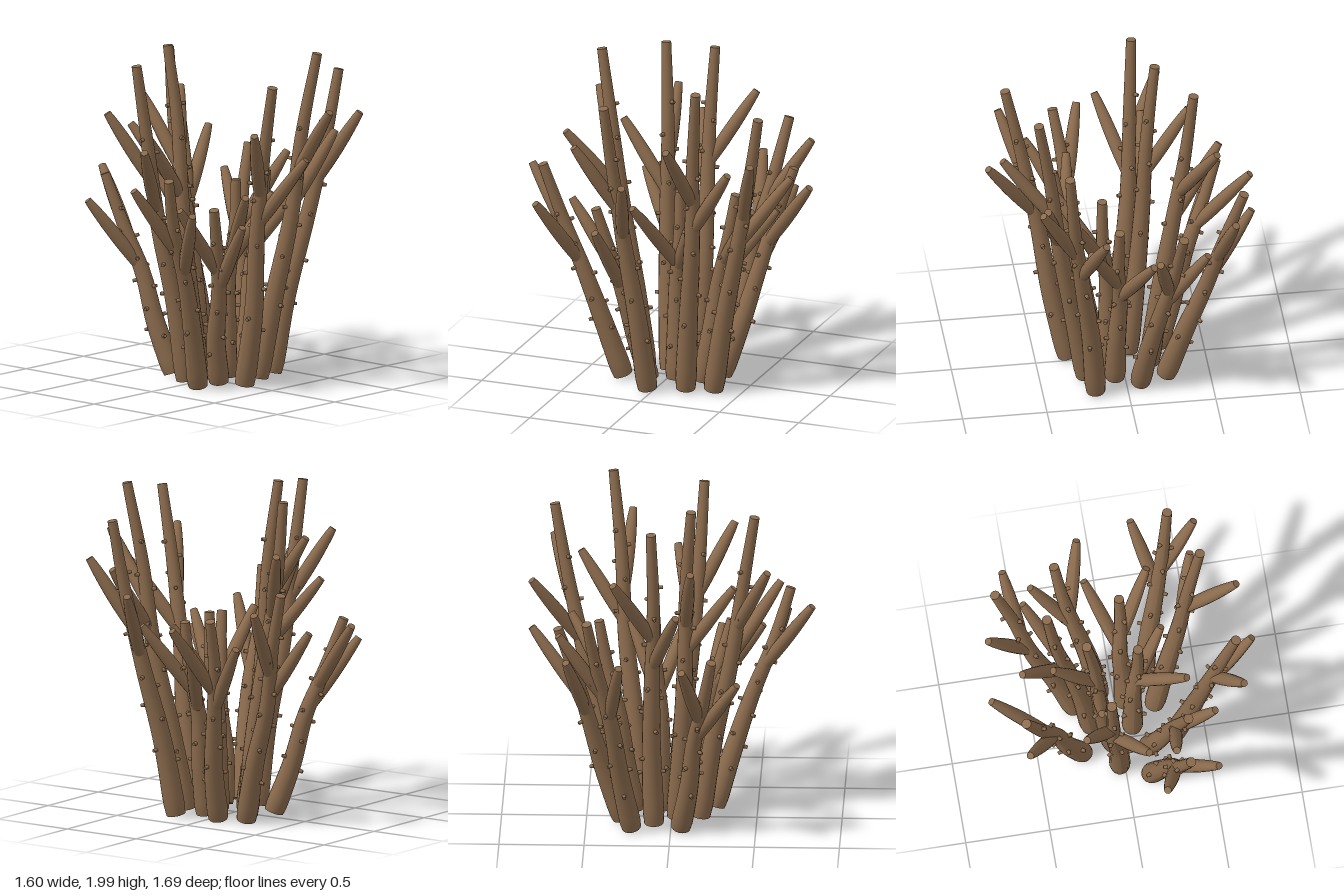
import * as THREE from 'three';

const bark = new THREE.MeshStandardMaterial({ color: 0x8b6b4d });
const V = (x, y, z) => new THREE.Vector3(x, y, z);

// Each stalk: base [x, z], tip [x, y, z] and the tips of its side branches
const stalks = [
  { base: [-0.08, -0.29], tip: [-0.29, 1.28, -0.66], branches: [[-0.13, 1.23, -0.82], [-0.44, 1.12, -0.61]] },
  { base: [0.06, -0.22], tip: [0.06, 1.2, -0.43], branches: [[0.25, 1.18, -0.6], [-0.12, 1.07, -0.62]] },
  { base: [0.19, -0.34], tip: [0.39, 1.81, -0.7], branches: [[0.55, 1.57, -0.71], [0.19, 1.4, -0.83]] },
  { base: [0.23, -0.18], tip: [0.53, 1.97, -0.36], branches: [[0.73, 1.66, -0.25], [0.5, 1.48, -0.55]] },
  { base: [0.31, 0.03], tip: [0.66, 1.86, 0.17], branches: [[0.68, 1.6, 0.35], [0.78, 1.42, 0.01]] },
  { base: [0.08, -0.06], tip: [0.12, 1.2, -0.1], branches: [[0.38, 1.15, 0.1], [0.28, 1.12, -0.25]] },
  { base: [0.15, 0.08], tip: [0.35, 1.11, 0.34], branches: [[0.25, 1.12, 0.53], [0.52, 1.02, 0.28]] },
  { base: [0.14, 0.25], tip: [0.31, 1.33, 0.69], branches: [[0.15, 1.27, 0.82], [0.48, 1.14, 0.67]] },
  { base: [-0.03, 0.17], tip: [-0.13, 1.93, 0.49], branches: [[-0.29, 1.64, 0.57], [0.07, 1.46, 0.64]] },
  { base: [-0.05, 0.03], tip: [-0.22, 1.99, 0.12], branches: [[-0.42, 1.67, 0.12], [-0.17, 1.5, 0.37]] },
  { base: [-0.23, 0.06], tip: [-0.6, 1.19, 0.25], branches: [[-0.78, 1.19, 0.08], [-0.6, 1.05, 0.4]] },
  { base: [-0.16, -0.1], tip: [-0.42, 1.92, -0.11], branches: [[-0.53, 1.64, -0.33], [-0.59, 1.46, 0.04]] },
  { base: [-0.24, -0.23], tip: [-0.67, 1.45, -0.48], branches: [[-0.6, 1.35, -0.65], [-0.74, 1.2, -0.29]] },
];

// Round limb that follows a curve, with radius given by t along it
function limb(curve, radius, sides, rows) {
  const geo = new THREE.CylinderGeometry(1, 1, 1, sides, rows);
  const pos = geo.attributes.position;
  const p = V(0, 0, 0), out = V(0, 0, 0), turn = new THREE.Quaternion(), up = V(0, 1, 0);
  for (let i = 0; i < pos.count; i++) {
    p.fromBufferAttribute(pos, i);
    const t = THREE.MathUtils.clamp(p.y + 0.5, 0, 1);
    turn.setFromUnitVectors(up, curve.getTangent(t));
    out.set(p.x, 0, p.z).multiplyScalar(radius(t)).applyQuaternion(turn).add(curve.getPoint(t));
    pos.setXYZ(i, out.x, out.y, out.z);
  }
  geo.computeVertexNormals();
  return geo;
}

function part(name, geo) {
  const mesh = new THREE.Mesh(geo, bark);
  mesh.name = name;
  return mesh;
}

// Small blunt pegs winding up the stalk
function addBuds(group, curve, radius, phase) {
  const peg = new THREE.CylinderGeometry(0.01, 0.014, 0.04, 8);
  const count = 14;
  for (let i = 0; i < count; i++) {
    const t = 0.18 + 0.64 * i / (count - 1);
    const a = phase + i * 2.4;
    const turn = new THREE.Quaternion().setFromUnitVectors(V(0, 1, 0), curve.getTangent(t));
    const dir = V(Math.cos(a), 0, Math.sin(a)).applyQuaternion(turn);
    const bud = part('bud', peg);
    bud.position.copy(curve.getPoint(t)).addScaledVector(dir, radius(t) + 0.003);
    bud.quaternion.setFromUnitVectors(V(0, 1, 0), dir);
    group.add(bud);
  }
}

function makeStalk({ base, tip, branches }, index) {
  const group = new THREE.Group();
  group.name = 'stalk';
  const start = V(base[0], 0.02, base[1]), end = V(...tip);

  // Slightly wavering centre line
  const points = [0, 0.25, 0.5, 0.75, 1].map((t) => {
    const p = start.clone().lerp(end, t);
    const sway = 0.015 * Math.sin(t * Math.PI * 2 + index * 1.7) * Math.sin(t * Math.PI);
    return p.add(V(sway, 0, -sway));
  });
  const curve = new THREE.CatmullRomCurve3(points);
  const radius = (t) => 0.065 - 0.036 * t - 0.008 * Math.max(0, 1 - t * 25);
  group.add(part('stem', limb(curve, radius, 18, 30)));

  // Side branches, rooted inside the stem below their tips
  for (const b of branches) {
    const root = curve.getPoint((b[1] - 0.42) / tip[1]);
    const line = new THREE.LineCurve3(root, V(...b));
    const girth = (t) => 0.022 + 0.018 * Math.pow(Math.sin(Math.PI * (0.2 + 0.8 * t)), 0.8);
    group.add(part('branch', limb(line, girth, 14, 12)));
  }
  addBuds(group, curve, radius, index * 1.3);
  return group;
}

export function createModel() {
  const model = new THREE.Group();
  model.name = 'branchingStalks';
  stalks.forEach((s, i) => model.add(makeStalk(s, i)));
  return model;
}
